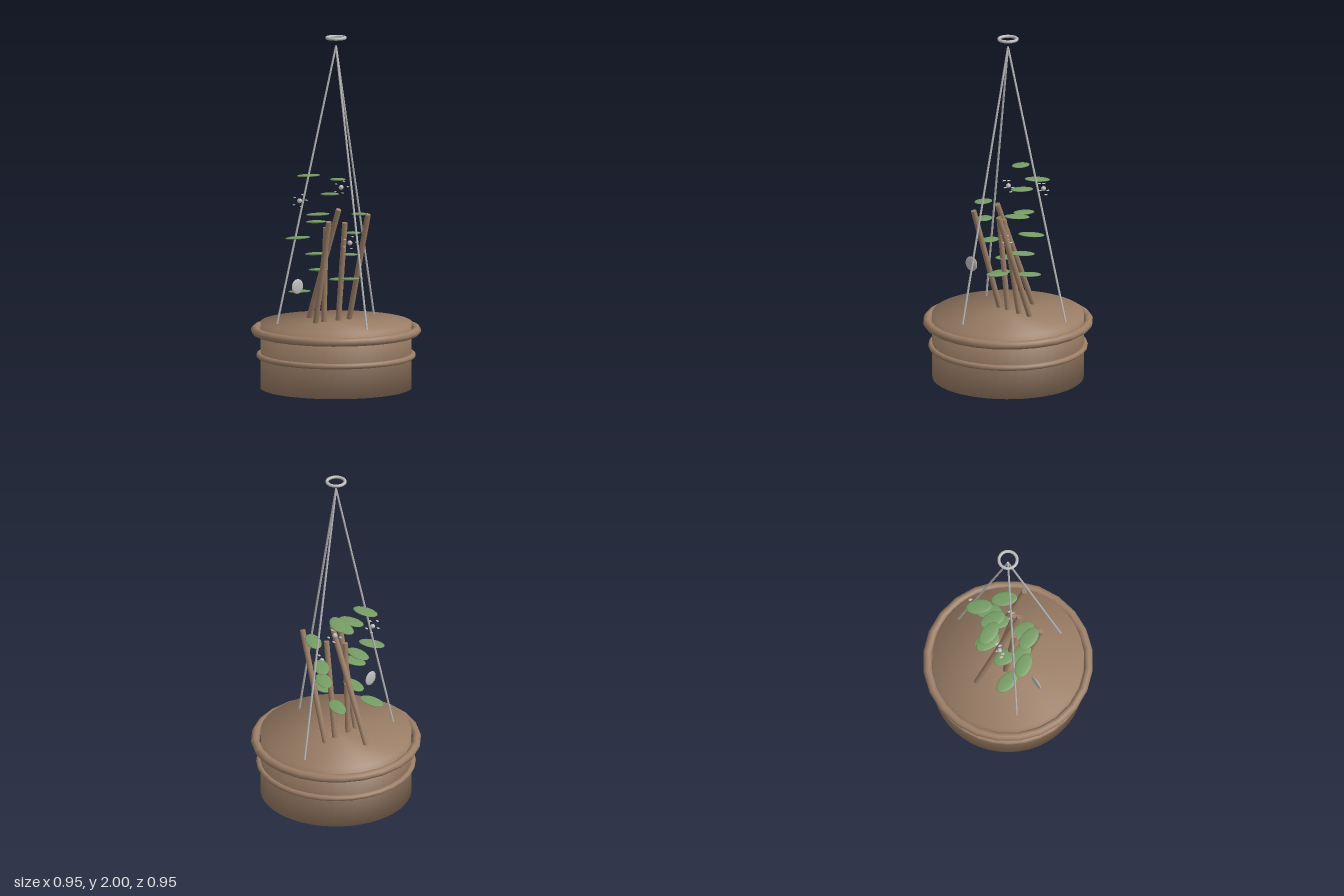
import * as THREE from 'three';

const mat = (name, color) => Object.assign(new THREE.MeshStandardMaterial({ color }), { name });

export function createModel() {
  const model = new THREE.Group();
  model.name = 'hangingPlanter';
  const clay = mat('clayBrown', 0x9b7e66);
  const green = mat('leafGreen', 0x759c64);
  const silver = mat('silverGrey', 0xbcbcbc);

  const add = (name, geometry, material, parent = model) => {
    const mesh = new THREE.Mesh(geometry, material);
    mesh.name = name;
    parent.add(mesh);
    return mesh;
  };
  const rod = (name, a, b, r, material, sides) => {
    const from = new THREE.Vector3(...a), to = new THREE.Vector3(...b);
    const dir = to.clone().sub(from);
    const mesh = add(name, new THREE.CylinderGeometry(r, r, dir.length(), sides), material);
    mesh.position.copy(from).lerp(to, 0.5);
    mesh.quaternion.setFromUnitVectors(new THREE.Vector3(0, 1, 0), dir.normalize());
    return mesh;
  };
  const hoop = (name, radius, tube, y, material, sides) => {
    const mesh = add(name, new THREE.TorusGeometry(radius, tube, 10, sides), material);
    mesh.rotation.x = Math.PI / 2;
    mesh.position.y = y;
  };

  // Pot: a filled drum whose normals are blended softly over both edges
  const R = 0.423;
  const potGeometry = new THREE.CylinderGeometry(R, R, 0.37, 48);
  const pos = potGeometry.attributes.position, nor = potGeometry.attributes.normal;
  for (let i = 0; i < pos.count; i++) {
    nor.setXYZ(i, pos.getX(i) / R * 0.707, Math.sign(pos.getY(i)) * 0.707, pos.getZ(i) / R * 0.707);
  }
  add('pot', potGeometry, clay).position.y = 0.2;
  hoop('potRim', 0.452, 0.024, 0.34, clay, 24);
  hoop('potBand', 0.43, 0.016, 0.2, clay, 32);

  // Drainage studs under the pot
  for (let i = 0; i < 8; i++) {
    const a = 0.21 + i * Math.PI / 4;
    add('drainStud', new THREE.CylinderGeometry(0.01, 0.01, 0.03, 8), clay)
      .position.set(0.21 * Math.cos(a), 0.015, 0.21 * Math.sin(a));
  }

  // Hanger: three cords meeting below a ring
  for (const [x, z] of [[0.324, -0.162], [-0.326, -0.087], [0.022, 0.329]]) {
    rod('cord', [x, 0.385, z], [0, 1.945, 0], 0.006, silver, 8);
  }
  hoop('hangingRing', 0.051, 0.009, 1.991, silver, 24);

  // Stems: base x, z, then tip x, y, z
  const stems = [
    [-0.115, -0.03, -0.123, 0.98, 0.148],
    [-0.055, -0.04, -0.07, 0.925, 0.01],
    [-0.058, -0.22, -0.016, 1.03, 0.062],
    [0.04, -0.05, 0.03, 0.95, 0.05],
    [0.117, -0.07, 0.122, 1.005, 0.152],
  ];
  for (const [bx, bz, x, y, z] of stems) {
    rod('stem', [bx, 0.37, bz], [x, y, z], 0.0155, clay, 12);
  }

  // Leaves: x, y, z, turn about the vertical
  const leafGeometry = new THREE.SphereGeometry(1, 20, 12).scale(0.043, 0.008, 0.074);
  const leaves = [
    [-0.093, 1.198, -0.155, 0.5], [0.085, 1.165, -0.14, -0.3],
    [0.008, 1.095, -0.09, 0.05], [-0.148, 1.013, 0.063, 0.5],
    [0.13, 0.99, 0.033, -0.3], [-0.237, 0.877, -0.008, 0.72],
    [0.14, 0.87, -0.06, -0.45], [-0.05, 0.935, -0.145, 0.2],
    [-0.185, 0.56, -0.085, 0.4], [0.035, 0.64, 0.1, 0.12],
    [-0.085, 0.68, -0.05, 0.1], [-0.135, 0.785, 0.025, 0.55],
    [0.1, 0.755, -0.025, -0.3], [0.06, 0.608, -0.1, -0.2],
  ];
  for (const [x, y, z, turn] of leaves) {
    const leaf = add('leaf', leafGeometry, green);
    leaf.position.set(x, y, z);
    leaf.rotation.set(-0.1, turn, 0, 'YXZ');
  }

  // Flowers: a round centre and five loose petals
  const centreGeometry = new THREE.SphereGeometry(0.014, 14, 10);
  const petalGeometry = new THREE.SphereGeometry(1, 10, 8).scale(0.007, 0.003, 0.012);
  for (const [x, y, z] of [[-0.165, 1.065, -0.122], [0.117, 1.115, -0.16], [0.06, 0.835, 0.052]]) {
    const flower = new THREE.Group();
    flower.name = 'flower';
    flower.position.set(x, y, z);
    model.add(flower);
    add('flowerCentre', centreGeometry, silver, flower);
    for (let i = 0; i < 5; i++) {
      const a = i * Math.PI * 2 / 5;
      add('petal', petalGeometry, silver, flower)
        .position.set(0.042 * Math.cos(a), 0.036 * Math.sin(a), 0.008 * Math.sin(a));
    }
  }

  // Upright plant tag
  const tag = add('plantTag', new THREE.SphereGeometry(1, 24, 16).scale(0.042, 0.042, 0.008), silver);
  tag.position.set(-0.272, 0.613, 0.055);
  tag.rotation.y = 0.25;

  return model;
}
